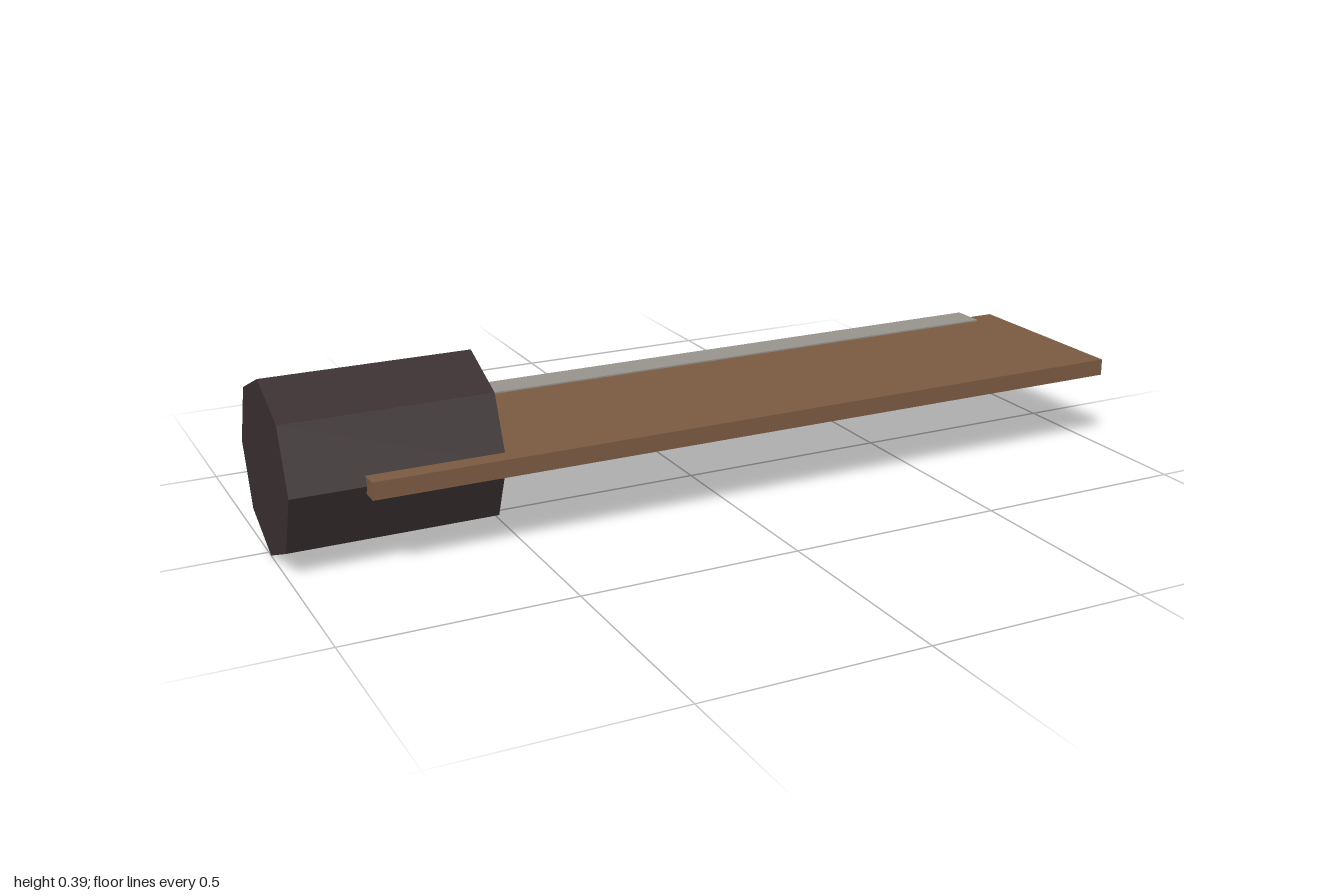
import * as THREE from 'three';

export function createModel() {
  const group = new THREE.Group();
  const mat = (name, color) => {
    const m = new THREE.MeshStandardMaterial({ color, flatShading: true });
    m.name = name;
    return m;
  };
  const wood = mat('brown wood', 0x7a5a42);
  const dark = mat('dark grip', 0x3a3031);
  const steel = mat('grey steel', 0x96928c);

  const add = (name, geometry, material, x, y, z) => {
    const mesh = new THREE.Mesh(geometry, material);
    mesh.name = name;
    mesh.position.set(x, y, z);
    group.add(mesh);
    return mesh;
  };

  // Octagonal block around one end of the board, corner up
  const block = new THREE.CylinderGeometry(0.195, 0.195, 0.46, 8).rotateZ(Math.PI / 2);
  add('octagonalBlock', block, dark, -0.77, 0.195, 0.02);

  // Long flat board
  add('board', new THREE.BoxGeometry(1.84, 0.039, 0.46), wood, 0.08, 0.196, 0.02);

  // Metal strip wrapped over the back edge
  add('edgeStrip', new THREE.BoxGeometry(1.7, 0.046, 0.08), steel, 0.08, 0.196, -0.21);

  return group;
}
